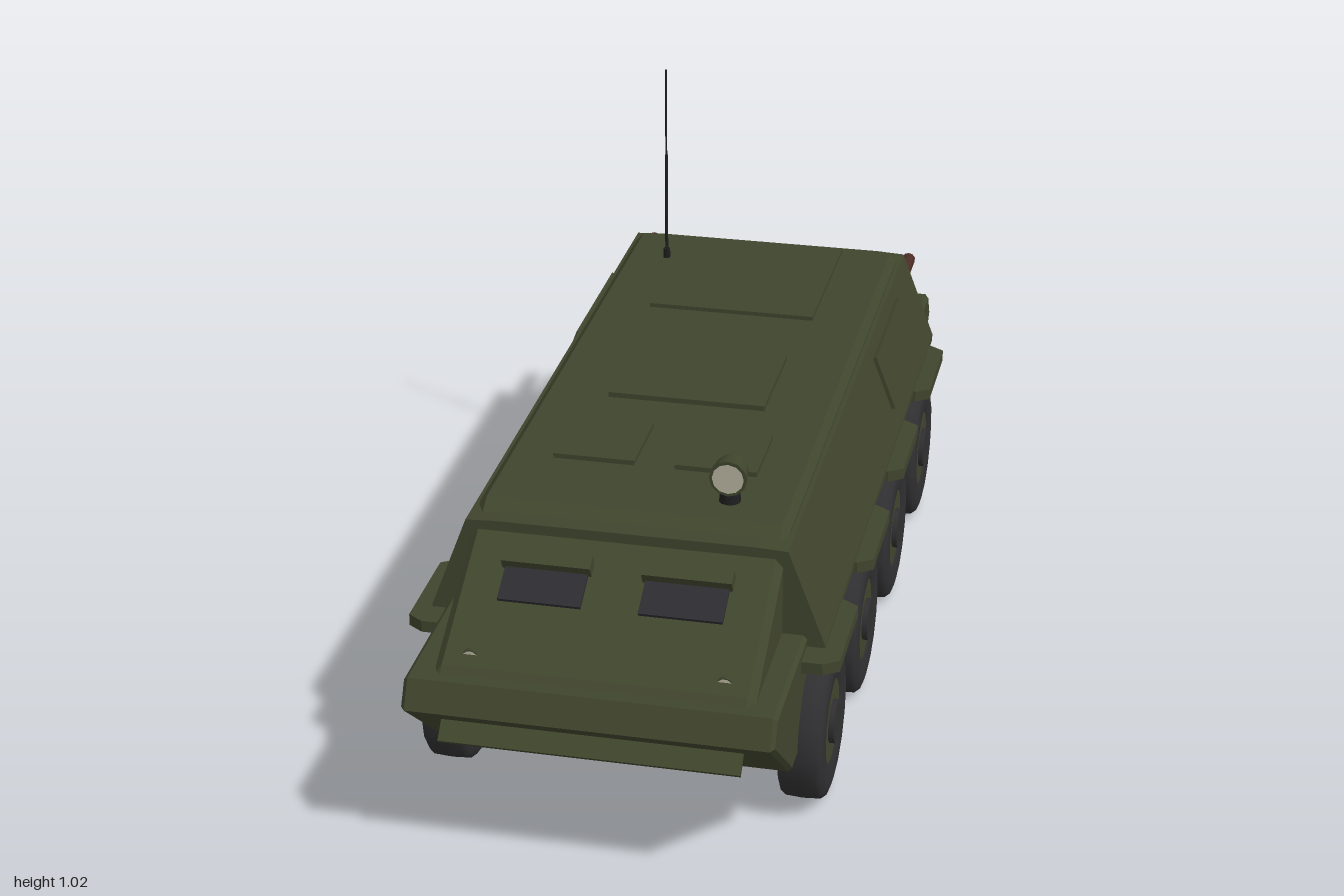
import * as THREE from 'three';

const mat = (name, color, extra = {}) => {
  const m = new THREE.MeshStandardMaterial({ color, ...extra });
  m.name = name;
  return m;
};

export function createModel() {
  const green = mat('olive green', 0x40452d);
  const rubber = mat('tyre rubber', 0x303032);
  const dark = mat('dark metal', 0x1e1e20);
  const glass = mat('window glass', 0x2c2c31);
  const rust = mat('exhaust brown', 0x4c2c26);
  const lens = mat('lamp lens', 0xbab6a2);
  const flatRubber = rubber;

  const model = new THREE.Group();
  model.name = 'armouredCarrier';

  const add = (name, geo, material, x = 0, y = 0, z = 0, parent = model) => {
    const m = new THREE.Mesh(geo, material);
    m.name = name;
    m.position.set(x, y, z);
    parent.add(m);
    return m;
  };
  const box = (w, h, d) => new THREE.BoxGeometry(w, h, d);
  const rodX = (r, len, n = 14) => new THREE.CylinderGeometry(r, r, len, n).rotateZ(-Math.PI / 2);
  const rodZ = (r0, r1, len, n = 10) => new THREE.CylinderGeometry(r0, r1, len, n).rotateX(Math.PI / 2);
  const shapeOf = (pts) => new THREE.Shape(pts.map(([a, b]) => new THREE.Vector2(a, b)));

  // Side profile (z, y) extruded across the width with chamfered edges
  const sideProfile = (pts, width, bevel) => {
    const depth = width - 2 * bevel;
    return new THREE.ExtrudeGeometry(shapeOf(pts), {
      depth, bevelEnabled: true, bevelSegments: 1,
      bevelSize: bevel, bevelThickness: bevel, bevelOffset: -bevel,
    }).translate(0, 0, -depth / 2).rotateY(-Math.PI / 2);
  };

  // Boat-shaped lower hull
  add('lowerHull', sideProfile([
    [-0.83, 0.165], [0.81, 0.165], [1.0, 0.325], [0.97, 0.378], [-0.965, 0.378], [-1.0, 0.32],
  ], 0.7, 0.008), green);

  // Upper hull with sloping front and rear plates
  add('upperHull', sideProfile([
    [-0.96, 0.36], [0.965, 0.36], [0.93, 0.39], [0.6, 0.573], [-0.735, 0.573],
  ], 0.605, 0.015), green);

  // Sloping side compartments
  const sideLen = 1.45;
  add('sideCompartments', new THREE.ExtrudeGeometry(shapeOf([
    [-0.385, 0.345], [0.385, 0.345], [0.385, 0.36], [0.312, 0.553], [0.25, 0.556],
    [-0.25, 0.556], [-0.312, 0.553], [-0.385, 0.36],
  ]), { depth: sideLen, bevelEnabled: false }).translate(0, 0, -0.782), green);

  const sideTilt = Math.atan2(0.073, 0.193);
  for (const s of [-1, 1]) {
    // Side doors lying on the sloped walls
    const door = add('sideDoor', box(0.012, 0.124, 0.33), green, s * 0.347, 0.467, -0.435);
    door.rotation.z = s * sideTilt;

    // Exhaust pipes
    add('exhaustPipe', rodZ(0.015, 0.015, 0.19), rust, s * 0.305, 0.482, -0.83);

    // Driver windows under hinged visors, laid on the front plate
    const slope = new THREE.Group();
    slope.name = 'frontWindow';
    slope.position.set(s * 0.135, 0.482, 0.764);
    slope.rotation.x = -Math.atan2(0.33, 0.183);
    slope.rotation.x += Math.PI / 2 - Math.PI / 2;
    model.add(slope);
    add('windowGlass', box(0.16, 0.075, 0.008), glass, 0, -0.005, 0.003, slope);
    add('windowVisor', box(0.172, 0.03, 0.028), green, 0, 0.045, 0.012, slope);

    // Headlamps half sunk in the front plate
    add('headlamp', rodZ(0.018, 0.014, 0.04), green, s * 0.24, 0.394, 0.886);
    add('headlampLens', new THREE.CircleGeometry(0.016, 10), lens, s * 0.24, 0.394, 0.907);

    // Front roof hatches
    add('crewHatch', box(0.163, 0.016, 0.17), green, s * 0.122, 0.575, 0.335);
  }

  // Roof hatches
  add('mainHatch', box(0.325, 0.02, 0.25), green, 0, 0.574, 0.005);
  add('engineCover', box(0.36, 0.016, 0.39), green, 0, 0.574, -0.525);

  // Trim board on the lower bow
  const board = add('trimBoard', box(0.57, 0.012, 0.065), green, 0, 0.277, 0.958);
  board.rotation.x = Math.PI / 4;

  // Searchlight
  add('searchlightPost', new THREE.CylinderGeometry(0.018, 0.022, 0.04, 10), dark, 0.172, 0.587, 0.525);
  add('searchlight', rodZ(0.037, 0.032, 0.045, 12), green, 0.172, 0.63, 0.525);
  add('searchlightLens', new THREE.CircleGeometry(0.031, 12), lens, 0.172, 0.63, 0.549);

  // Whip antenna
  const whip = (name, r, y0, y1) =>
    add(name, new THREE.CylinderGeometry(r, r, y1 - y0, 8), dark, -0.205, (y0 + y1) / 2, -0.61);
  whip('antennaBase', 0.008, 0.57, 0.594);
  whip('antennaLower', 0.0035, 0.59, 0.82);
  whip('antennaUpper', 0.0022, 0.82, 1.02);

  // Wheels, axles and mudguards
  const tyreGeo = new THREE.LatheGeometry([
    [0.08, -0.036], [0.09, -0.043], [0.125, -0.046], [0.145, -0.041], [0.154, -0.03],
    [0.156, 0], [0.154, 0.03], [0.145, 0.041], [0.125, 0.046], [0.09, 0.043], [0.08, 0.036],
  ].map(([r, h]) => new THREE.Vector2(r, h)), 16).rotateZ(-Math.PI / 2);
  const guardGeo = new THREE.ExtrudeGeometry(shapeOf([
    [-0.125, 0], [0.125, 0], [0.125, 0.07], [0.105, 0.1], [-0.105, 0.1], [-0.125, 0.07],
  ].map(([z, x]) => [z, -x])), { depth: 0.024, bevelEnabled: false })
    .rotateX(-Math.PI / 2).rotateY(Math.PI / 2);

  for (const z of [0.602, 0.2, -0.205, -0.602]) {
    add('axle', rodX(0.025, 0.62), dark, 0, 0.155, z);
    for (const s of [-1, 1]) {
      const wheel = new THREE.Group();
      wheel.name = 'wheel';
      wheel.position.set(s * 0.351, 0.156, z);
      wheel.rotation.y = s > 0 ? 0 : Math.PI;
      model.add(wheel);
      add('tyre', tyreGeo, flatRubber, 0, 0, 0, wheel);
      add('rim', rodX(0.085, 0.078, 16), green, 0, 0, 0, wheel);
      add('hub', rodX(0.043, 0.1, 12), rubber, 0, 0, 0, wheel);

      const guard = add('mudguard', guardGeo, green, s * 0.32, 0.331, z);
      guard.rotation.y = s > 0 ? 0 : Math.PI;
    }
  }
  return model;
}
